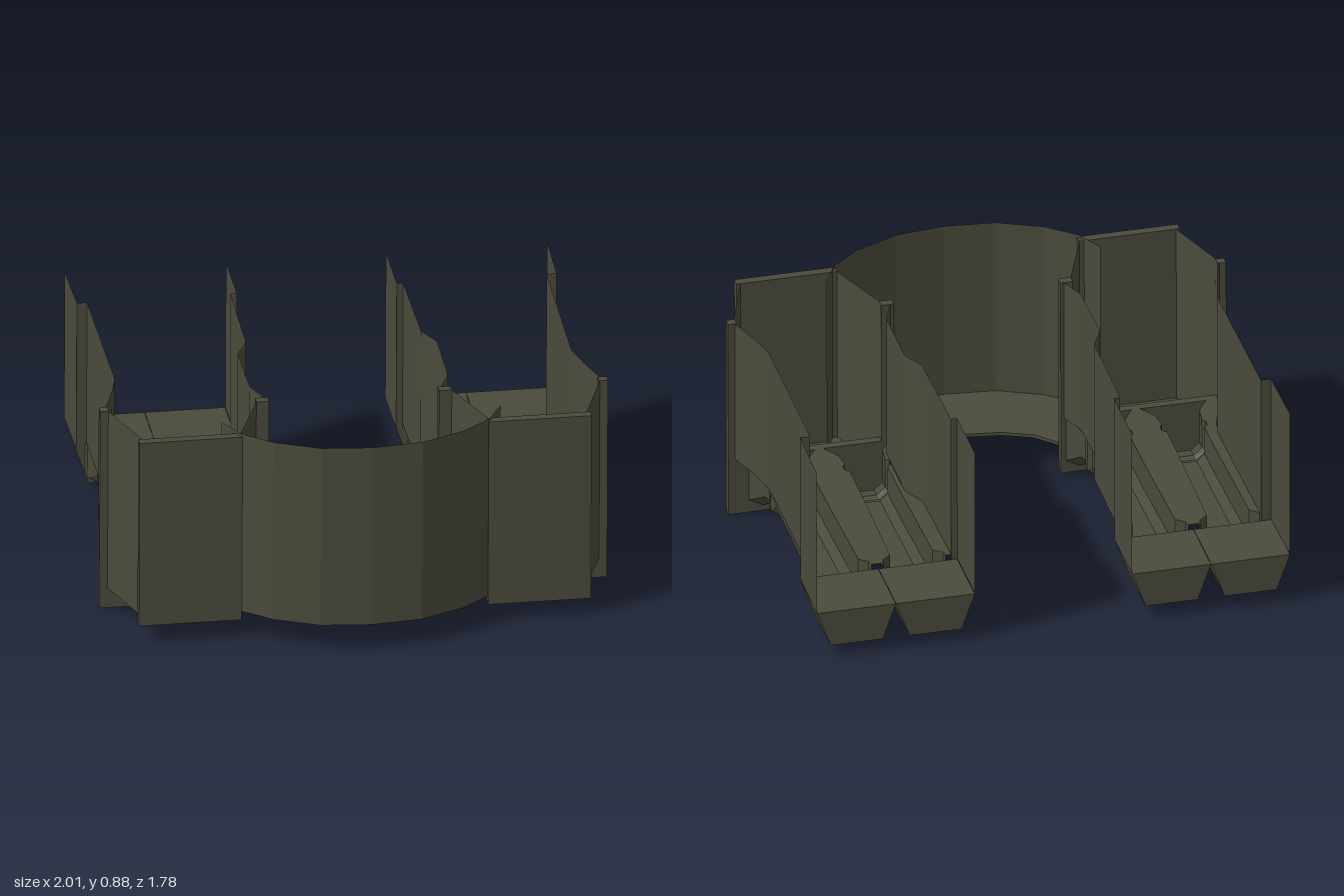
import * as THREE from 'three';

const olive = new THREE.MeshStandardMaterial({ color: 0x4a4a3c, side: THREE.DoubleSide, flatShading: true });
olive.name = 'dark olive';

const TOP = 0.85;

function addMesh(parent, name, geometry) {
  const mesh = new THREE.Mesh(geometry, olive);
  mesh.name = name;
  parent.add(mesh);
  return mesh;
}

// Open sheet through a list of equally long cross-sections of [x, y, z] points
function loft(sections) {
  const n = sections[0].length, index = [];
  for (let i = 0; i < sections.length - 1; i++) {
    for (let j = 0; j < n - 1; j++) {
      const a = i * n + j, b = a + n;
      index.push(a, b, a + 1, a + 1, b, b + 1);
    }
  }
  const g = new THREE.BufferGeometry();
  g.setAttribute('position', new THREE.Float32BufferAttribute(sections.flat(2), 3));
  g.setIndex(index);
  const flat = g.toNonIndexed();
  flat.computeVertexNormals();
  return flat;
}

// Upright sheet following [x, z] points
const wall = (path, y0, y1) => loft([y0, y1].map(y => path.map(([x, z]) => [x, y, z])));

// Level plate with its underside at y
function plate(points, y, thickness) {
  const shape = new THREE.Shape(points.map(([x, z]) => new THREE.Vector2(x, -z)));
  const g = new THREE.ExtrudeGeometry(shape, { depth: thickness, bevelEnabled: false });
  return g.rotateX(-Math.PI / 2).translate(0, y, 0);
}

function box(x0, x1, y0, y1, z0, z1) {
  return new THREE.BoxGeometry(Math.abs(x1 - x0), y1 - y0, z1 - z0)
    .translate((x0 + x1) / 2, (y0 + y1) / 2, (z0 + z1) / 2);
}

function createArm(s) {
  const arm = new THREE.Group();
  arm.name = s > 0 ? 'leftArm' : 'rightArm';
  const side = path => path.map(([x, z]) => [s * x, z]);

  // Long outer and inner walls, stepping out at the rear
  addMesh(arm, 'outerWall', wall(side([[0.905, -0.585], [0.9, 0.1], [0.93, 0.22], [0.975, 0.36]]), 0.243, TOP));
  addMesh(arm, 'innerWall', wall(side([[0.34, -0.585], [0.345, -0.15], [0.393, -0.05], [0.39, 0.25], [0.345, 0.36]]), 0.243, TOP));
  addMesh(arm, 'rearOuterWall', wall(side([[0.905, -0.585], [0.945, -0.585], [0.95, -0.87]]), 0.22, TOP));
  addMesh(arm, 'rearInnerWall', wall(side([[0.34, -0.585], [0.315, -0.585], [0.315, -0.87]]), 0.22, TOP));

  // Floor with two hollow half columns: z, half width, underside, inner x, outer x
  const stations = [
    [-0.585, 0.125, 0.07, 0.34, 0.905], [-0.56, 0.12, 0.075, 0.34, 0.905],
    [-0.53, 0.085, 0.095, 0.34, 0.905], [-0.15, 0.078, 0.095, 0.345, 0.903],
    [-0.05, 0.076, 0.095, 0.393, 0.902], [0.15, 0.075, 0.095, 0.392, 0.91],
    [0.165, 0.092, 0.075, 0.392, 0.912], [0.195, 0.092, 0.075, 0.391, 0.922],
    [0.21, 0.08, 0.088, 0.391, 0.927], [0.28, 0.088, 0.072, 0.38, 0.95],
    [0.32, 0.11, 0.045, 0.362, 0.963], [0.36, 0.138, 0.02, 0.345, 0.975],
  ];
  addMesh(arm, 'columnFloor', loft(stations.map(([z, h, y, xi, xo]) => {
    const row = [[xi, 0.243]];
    for (const c of [0.487, 0.785]) {
      row.push([c - h, 0.243], [c - h, y + 0.03], [c - h * 0.6, y],
        [c + h * 0.6, y], [c + h, y + 0.03], [c + h, 0.243]);
    }
    row.push([xo, 0.243]);
    return row.map(([x, yy]) => [s * x, yy, z]);
  })));

  // Tapered twin capitals under the rear
  for (const c of [0.474, 0.791]) {
    const shape = new THREE.Shape([[-0.158, 0.22], [-0.105, 0.07], [0.105, 0.07], [0.158, 0.22]]
      .map(([x, y]) => new THREE.Vector2(x, y)));
    addMesh(arm, 'capital', new THREE.ExtrudeGeometry(shape, { depth: 0.285, bevelEnabled: false })
      .translate(s * c, 0, -0.87));
  }

  // Flange frame where the arm meets the front block
  addMesh(arm, 'flangeSill', box(s * 0.335, s, 0, 0.243, 0.352, 0.388));
  addMesh(arm, 'flangeOuterPost', box(s * 0.965, s, 0.243, TOP, 0.352, 0.388));
  addMesh(arm, 'flangeInnerPost', box(s * 0.335, s * 0.385, 0.243, TOP, 0.352, 0.388));

  // Tapered open block and its front panel
  const inner = [[0.385, 0.388], [0.487, 0.655]], outer = [[0.875, 0.655], [0.968, 0.388]];
  addMesh(arm, 'blockInnerWall', wall(side(inner), 0.085, TOP));
  addMesh(arm, 'blockOuterWall', wall(side(outer), 0.085, TOP));
  addMesh(arm, 'blockFloor', plate(side([...inner, ...outer]), 0.085, 0.01));
  addMesh(arm, 'frontPanel', box(s * 0.485, s * 0.89, 0.06, TOP, 0.655, 0.692));
  return arm;
}

export function createModel() {
  const model = new THREE.Group();
  model.name = 'channelFrame';
  const body = new THREE.Group();
  body.name = 'body';
  model.add(body);
  for (const s of [1, -1]) body.add(createArm(s));

  // Curved front bridge
  const mirror = half => [...half.map(([x, z]) => [-x, z]), ...half.slice().reverse().filter(p => p[0] > 0)];
  const outer = mirror([[0.55, 0.57], [0.49, 0.685], [0.375, 0.78], [0.2, 0.858], [0, 0.88]]);
  const inner = mirror([[0.34, 0.4], [0.26, 0.482], [0.14, 0.533], [0, 0.553]]);
  addMesh(body, 'bridgeWall', wall(outer, 0.096, 0.862));
  addMesh(body, 'bridgeFloor', plate([...outer, ...inner.reverse()], 0.096, 0.014));

  // Slight lean of the whole frame
  body.rotation.set(-0.02, 0.018, -0.007);
  body.updateMatrixWorld(true);
  const bounds = new THREE.Box3().setFromObject(body, true);
  const c = bounds.getCenter(new THREE.Vector3());
  body.position.set(-c.x, -bounds.min.y, -c.z);
  return model;
}
